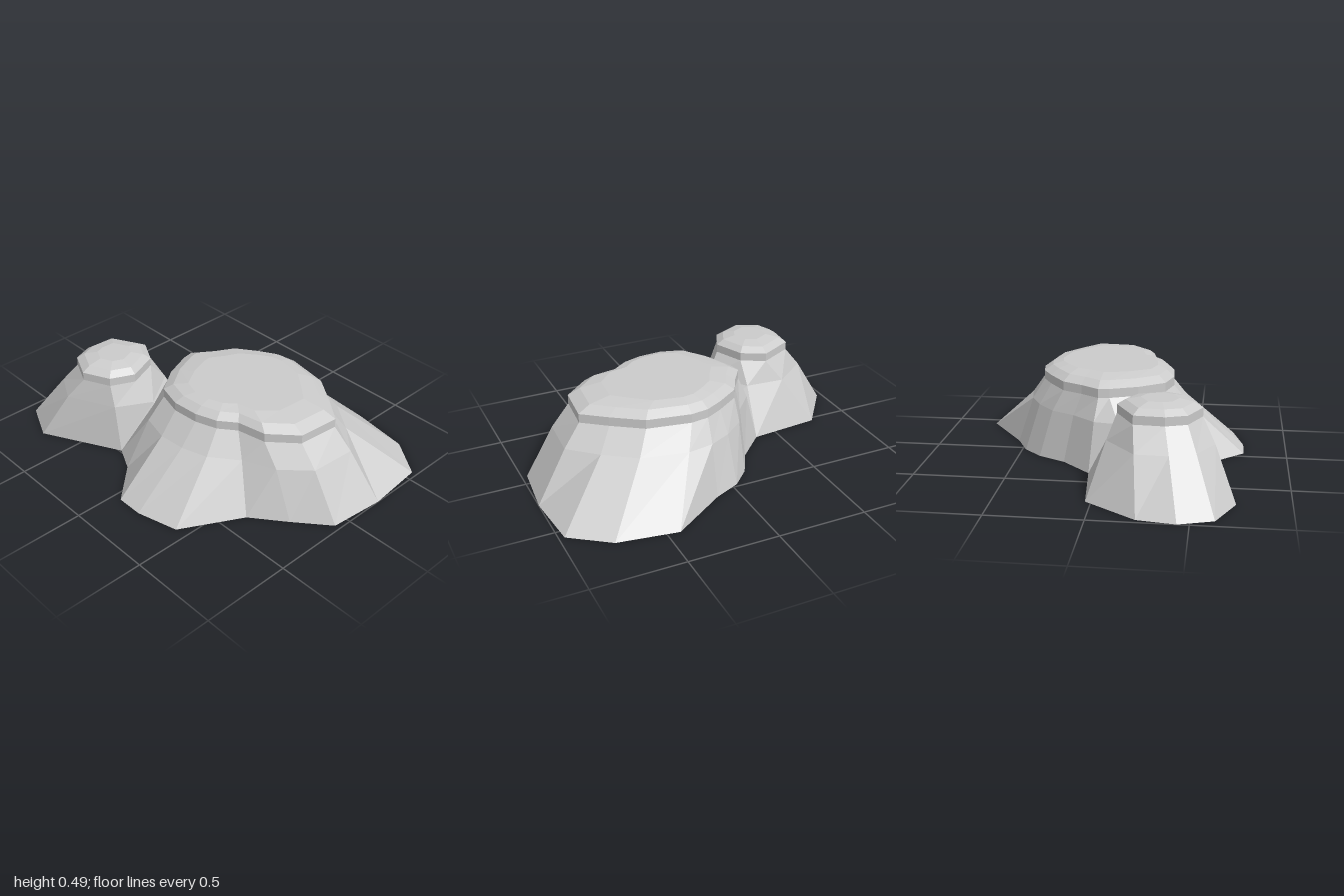
import * as THREE from 'three';

const material = new THREE.MeshStandardMaterial({ color: 0xcccccc, flatShading: true });

// Closed loft through rings of [x, y, z], listed clockwise as seen from above
function loft(rings, name) {
  const pos = [];
  const tri = (...corners) => corners.forEach((c) => pos.push(...c));
  const n = rings[0].length;
  const centre = (ring) => [0, 1, 2].map((k) => ring.reduce((s, p) => s + p[k], 0) / n);
  const top = rings[rings.length - 1];
  const cBottom = centre(rings[0]);
  const cTop = centre(top);
  for (let i = 0; i < n; i++) {
    const j = (i + 1) % n;
    for (let r = 0; r < rings.length - 1; r++) {
      const a = rings[r], b = rings[r + 1];
      tri(a[j], a[i], b[i]);
      tri(a[j], b[i], b[j]);
    }
    tri(cTop, top[j], top[i]);
    tri(cBottom, rings[0][i], rings[0][j]);
  }
  const geometry = new THREE.BufferGeometry();
  geometry.setAttribute('position', new THREE.Float32BufferAttribute(pos, 3));
  geometry.computeVertexNormals();
  const mesh = new THREE.Mesh(geometry, material);
  mesh.name = name;
  return mesh;
}

// Mound: spreading foot, steeper shoulder, upright rim band and stepped cap.
// Each outline entry is [rimX, rimZ, baseX, baseZ]; caps are [y, scaleX, scaleZ].
function mound(name, outline, [cx, cz], rimTop, caps) {
  const shoulder = outline.map(([x, z, bx, bz]) => {
    const len = Math.hypot(bx - x, bz - z);
    const t = Math.min(0.1, 0.45 * len) / len;
    return [x + (bx - x) * t, 0.27, z + (bz - z) * t];
  });
  const rim = (y, sx = 1, sz = 1) =>
    outline.map(([x, z]) => [cx + (x - cx) * sx, y, cz + (z - cz) * sz]);
  return loft([
    outline.map(([, , bx, bz]) => [bx, 0, bz]),
    shoulder,
    rim(0.39),
    rim(rimTop),
    ...caps.map((c) => rim(...c)),
  ], name);
}

export function createModel() {
  const group = new THREE.Group();
  group.name = 'rockMounds';

  // Large plateau
  group.add(mound('largeMound', [
    [0.20, -0.40, 0.43, -0.76],
    [0.44, -0.36, 0.76, -0.71],
    [0.60, -0.25, 0.97, -0.56],
    [0.73, -0.15, 1.00, -0.23],
    [0.71, 0.08, 0.97, 0.08],
    [0.57, 0.21, 0.79, 0.23],
    [0.41, 0.24, 0.61, 0.37],
    [0.32, 0.31, 0.43, 0.70],
    [0.20, 0.35, 0.20, 0.76],
    [0.05, 0.36, 0.05, 0.76],
    [-0.09, 0.32, -0.14, 0.56],
    [-0.19, 0.18, -0.28, 0.49],
    [-0.25, 0.03, -0.50, 0.20],
    [-0.26, -0.03, -0.37, -0.07],
    [-0.19, -0.13, -0.21, -0.23],
    [-0.13, -0.24, -0.13, -0.38],
    [0.00, -0.33, -0.03, -0.48],
    [0.10, -0.385, 0.12, -0.55],
  ], [0.2, 0], 0.44, [[0.473, 0.87, 0.88], [0.49, 0.64, 0.73]]));

  // Small rounded neighbour, overlapping the plateau to form the saddle
  group.add(mound('smallMound', [
    [-0.38, 0.17, -0.37, -0.07],
    [-0.31, 0.34, 0.00, 0.15],
    [-0.37, 0.47, -0.28, 0.49],
    [-0.52, 0.54, -0.72, 0.72],
    [-0.67, 0.47, -0.94, 0.62],
    [-0.71, 0.36, -1.00, 0.44],
    [-0.70, 0.20, -0.97, 0.24],
    [-0.51, 0.10, -0.77, -0.03],
  ], [-0.51, 0.32], 0.437, [[0.465, 0.8, 0.8], [0.481, 0.45, 0.45]]));

  return group;
}
